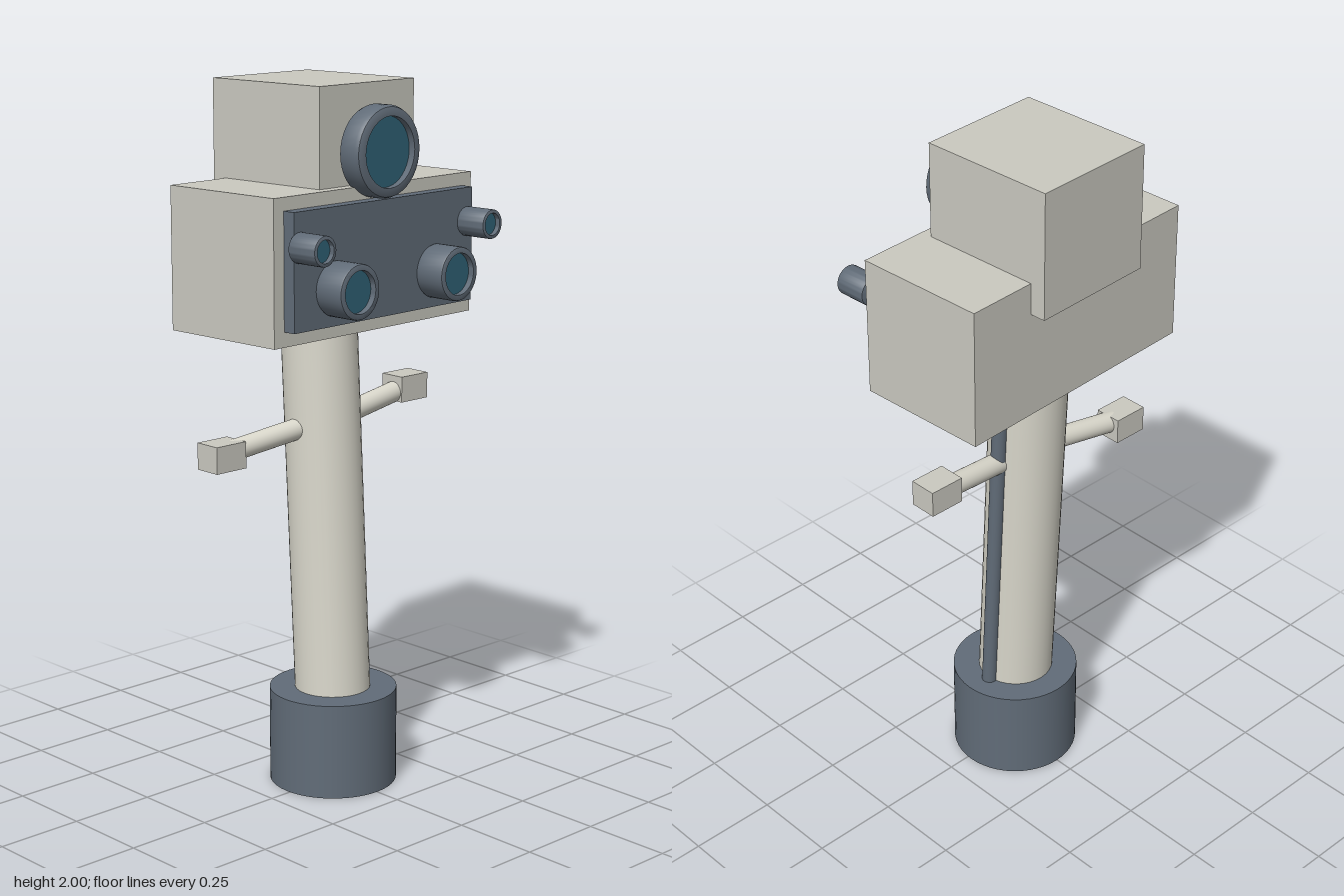
import * as THREE from 'three';
import { toCreasedNormals } from 'three/addons/utils/BufferGeometryUtils.js';

const material = (name, color) => {
  const m = new THREE.MeshStandardMaterial({ color });
  m.name = name;
  return m;
};

export function createModel() {
  const shell = material('shell grey', 0xcac9c0);
  const pale = material('pale grey', 0xd9d7cb);
  const slate = material('slate', 0x616c78);
  const glass = material('lens glass', 0x2f6276);

  const model = new THREE.Group();
  model.name = 'robot';

  const add = (parent, name, geometry, mat, x, y, z) => {
    const mesh = new THREE.Mesh(geometry, mat);
    mesh.name = name;
    mesh.position.set(x, y, z);
    parent.add(mesh);
    return mesh;
  };

  // Cylinder running between two points
  const rod = (name, a, b, radius, mat) => {
    const from = new THREE.Vector3(...a), to = new THREE.Vector3(...b);
    const dir = to.clone().sub(from);
    const mid = from.clone().add(to).multiplyScalar(0.5);
    const mesh = add(model, name, new THREE.CylinderGeometry(radius, radius, dir.length(), 32), mat, mid.x, mid.y, mid.z);
    mesh.quaternion.setFromUnitVectors(new THREE.Vector3(0, 1, 0), dir.normalize());
  };

  // Base, leaning neck and the cable beside it
  add(model, 'base', new THREE.CylinderGeometry(0.182, 0.182, 0.275, 48), slate, 0, 0.1375, -0.0125);
  rod('neck', [0, 0.2, -0.011], [0, 1.38, -0.072], 0.108, pale);
  rod('cable', [0.11, 0.25, -0.018], [0.11, 1.31, -0.074], 0.022, slate);

  // Arms, one raised and one lowered
  for (const [side, handY] of [[1, 1.092], [-1, 1.002]]) {
    const name = side > 0 ? 'left' : 'right';
    rod(name + 'Arm', [side * 0.06, 1.047 + side * 0.003, -0.052], [side * 0.35, handY - side * 0.004, -0.08], 0.03, pale);
    add(model, name + 'Hand', new THREE.BoxGeometry(0.105, 0.075, 0.08), shell, side * 0.352, handY, -0.08);
  }

  // Head, turned slightly
  const head = new THREE.Group();
  head.name = 'head';
  head.position.z = -0.048;
  head.rotation.y = 0.05;
  model.add(head);
  add(head, 'headBox', new THREE.BoxGeometry(0.78, 0.395, 0.39), shell, 0, 1.5325, 0);
  add(head, 'topBox', new THREE.BoxGeometry(0.37, 0.36, 0.403), shell, 0, 1.82, -0.04);
  add(head, 'facePanel', new THREE.BoxGeometry(0.706, 0.318, 0.042), slate, 0, 1.535, 0.211);

  // Hollow lens barrel with recessed glass
  const lens = (name, x, y, z, radius, inner, depth, bevel, recess) => {
    const profile = [
      [0, 0], [radius - bevel, 0], [radius - bevel * 0.3, bevel * 0.3], [radius, bevel],
      [radius, depth - bevel], [radius - bevel * 0.3, depth - bevel * 0.3], [radius - bevel, depth],
      [inner, depth], [inner, depth - recess],
    ].map(([r, h]) => new THREE.Vector2(r, h));
    const barrel = toCreasedNormals(new THREE.LatheGeometry(profile, 40).rotateX(Math.PI / 2), 0.7);
    add(head, name + 'Barrel', barrel, slate, x, y, z);
    add(head, name + 'Glass', new THREE.CircleGeometry(inner, 40), glass, x, y, z + depth - recess);
  };
  lens('main', 0, 1.82, 0.17, 0.125, 0.096, 0.076, 0.016, 0.02);
  for (const side of [1, -1]) {
    const name = side > 0 ? 'left' : 'right';
    lens(name + 'Eye', side * 0.198, 1.477, 0.23, 0.075, 0.058, 0.093, 0.006, 0.018);
    lens(name + 'Sensor', side * 0.332, 1.6, 0.23, 0.041, 0.031, 0.095, 0.003, 0.015);
  }
  return model;
}
